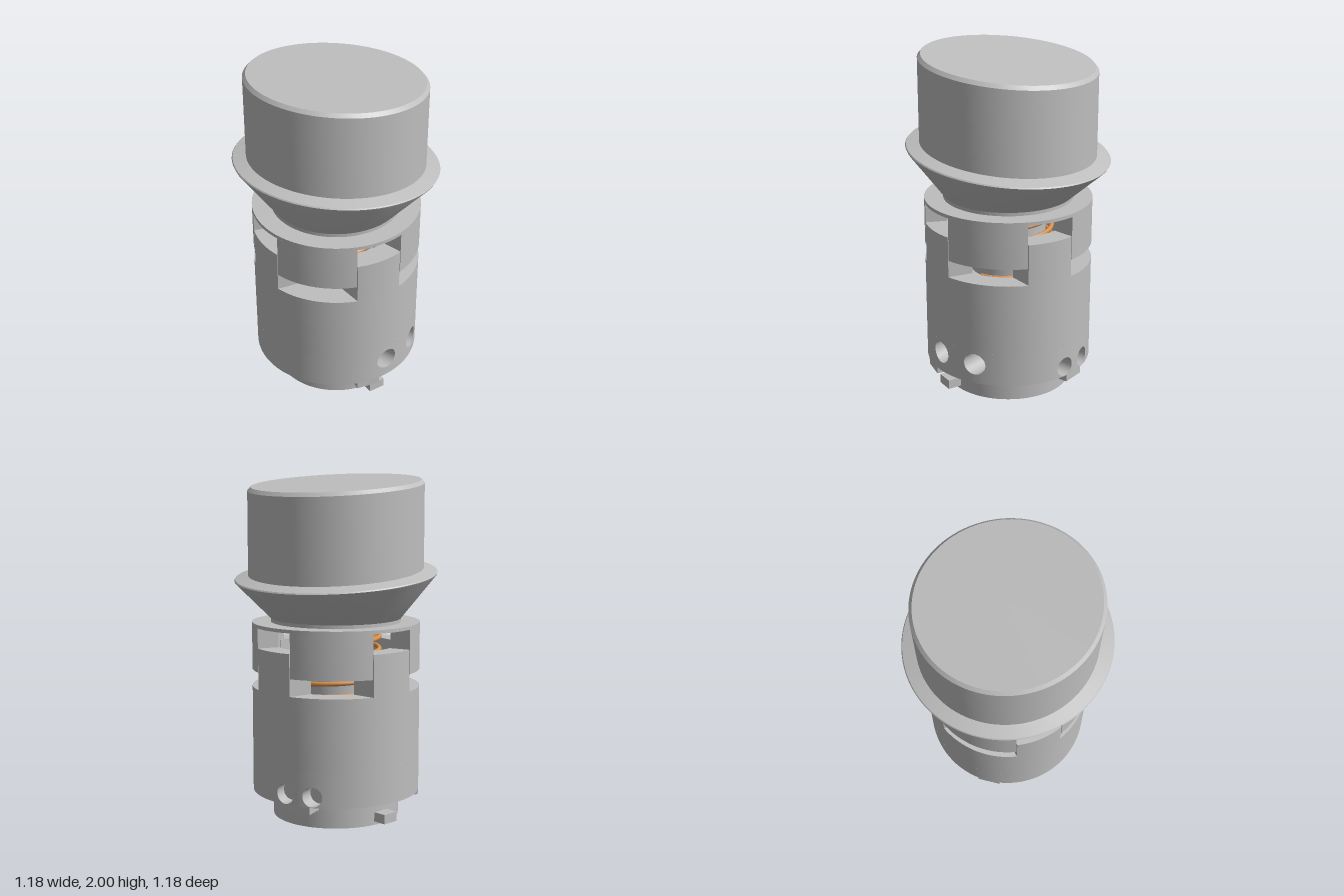
import * as THREE from 'three';
import { toCreasedNormals } from 'three/addons/utils/BufferGeometryUtils.js';

const metal = new THREE.MeshStandardMaterial({ color: 0xbebebe, side: THREE.DoubleSide });
metal.name = 'grey metal';
const copper = new THREE.MeshStandardMaterial({ color: 0xd9924f });
copper.name = 'copper';

const RAD = Math.PI / 180;
const OUTER = 0.49, INNER = 0.33;   // body and bore radii
const BAND0 = 0.15, BAND1 = 0.35;   // heights of the drilled band

function lathe(profile, from = 0, to = 360) {
  const points = profile.map(([r, y]) => new THREE.Vector2(r, y));
  const segments = Math.max(4, Math.round((to - from) / 3.75));
  return new THREE.LatheGeometry(points, segments, from * RAD, (to - from) * RAD);
}

// Ring sector whose outer and inner arcs may span different angles
function sector(center, halfOut, halfIn, rIn, rOut, y0, y1) {
  const pts = [], n = 14;
  for (let i = 0; i <= n; i++) {
    const a = (center + halfOut * (2 * i / n - 1)) * RAD;
    pts.push(new THREE.Vector2(rOut * Math.sin(a), -rOut * Math.cos(a)));
  }
  for (let i = n; i >= 0; i--) {
    const a = (center + halfIn * (2 * i / n - 1)) * RAD;
    pts.push(new THREE.Vector2(rIn * Math.sin(a), -rIn * Math.cos(a)));
  }
  const g = new THREE.ExtrudeGeometry(new THREE.Shape(pts), { depth: y1 - y0, bevelEnabled: false });
  g.rotateX(-Math.PI / 2).translate(0, y0, 0);
  return toCreasedNormals(g, 0.5);
}

// Surface through rows of points
function loft(rows) {
  const n = rows[0].length, index = [];
  for (let j = 0; j < rows.length - 1; j++) {
    for (let i = 0; i < n - 1; i++) {
      const a = j * n + i, b = a + n;
      index.push(a, a + 1, b, a + 1, b + 1, b);
    }
  }
  const g = new THREE.BufferGeometry().setFromPoints(rows.flat());
  g.setIndex(index);
  g.computeVertexNormals();
  return g;
}

const onCylinder = (R, x, y) => new THREE.Vector3(x, y, Math.sqrt(R * R - x * x));

// Perimeter of a window paired with a circle inside it
function windowRing(cx, cy, r, x0, x1) {
  const corners = [[x0, BAND0], [x0, BAND1], [x1, BAND1], [x1, BAND0], [x0, BAND0]];
  const ring = [];
  for (let s = 0; s < 4; s++) {
    for (let k = 0; k < 12 + (s === 3 ? 1 : 0); k++) {
      const x = THREE.MathUtils.lerp(corners[s][0], corners[s + 1][0], k / 12);
      const y = THREE.MathUtils.lerp(corners[s][1], corners[s + 1][1], k / 12);
      const a = Math.atan2(y - cy, x - cx);
      ring.push({ x, y, hx: cx + r * Math.cos(a), hy: cy + r * Math.sin(a) });
    }
  }
  return ring;
}

// Curved panel with a round hole
function holedPanel(R, ring) {
  const rows = [];
  for (let j = 0; j <= 5; j++) {
    rows.push(ring.map(p => onCylinder(R,
      THREE.MathUtils.lerp(p.hx, p.x, j / 5), THREE.MathUtils.lerp(p.hy, p.y, j / 5))));
  }
  return loft(rows);
}

export function createModel() {
  const model = new THREE.Group();
  const add = (name, geometry, material = metal, turn = 0) => {
    const mesh = new THREE.Mesh(geometry, material);
    mesh.name = name;
    mesh.rotation.y = turn * RAD;
    model.add(mesh);
    return mesh;
  };

  // Body shell, above and below the drilled band
  add('bodyShell', toCreasedNormals(lathe([[OUTER, BAND1], [OUTER, 0.77], [0.36, 0.77], [0.36, 0.7], [0, 0.7]]), 0.5));
  add('baseTube', toCreasedNormals(lathe([[INNER, BAND0], [INNER, 0], [0.37, 0], [0.37, BAND0], [OUTER, BAND0]]), 0.5));
  add('boreCeiling', toCreasedNormals(lathe([[0, 0.45], [INNER, 0.45], [INNER, BAND1]]), 0.5));

  // Drilled band: plain arcs between the windows
  const frontHalf = Math.asin(0.25 / OUTER) / RAD, sideHalf = Math.asin(0.17 / OUTER) / RAD;
  const boreHalf = Math.asin(0.25 / INNER) / RAD;
  add('bandFrontRight', lathe([[OUTER, BAND0], [OUTER, BAND1]], frontHalf, 90 - sideHalf));
  add('bandBack', lathe([[OUTER, BAND0], [OUTER, BAND1]], 90 + sideHalf, 360 - frontHalf));
  add('bandBore', lathe([[INNER, BAND1], [INNER, BAND0]], boreHalf, 360 - boreHalf));

  // Front holes run through into the bore
  for (const [cx, x0, x1] of [[-0.13, -0.25, 0], [0.12, 0, 0.25]]) {
    const ring = windowRing(cx, 0.27, 0.065, x0, x1);
    add('frontHolePanel', holedPanel(OUTER, ring));
    add('boreHolePanel', holedPanel(INNER, ring));
    add('frontHoleWall', loft([ring.map(p => onCylinder(OUTER, p.hx, p.hy)),
      ring.map(p => onCylinder(INNER, p.hx, p.hy))]));
  }

  // Side holes are blind
  for (const s of [-1, 1]) {
    const ring = windowRing(s * 0.085, 0.21, 0.057, Math.min(0, s * 0.17), Math.max(0, s * 0.17));
    add('sideHolePanel', holedPanel(OUTER, ring), metal, 90);
    add('sideHoleWall', loft([ring.map(p => onCylinder(OUTER, p.hx, p.hy)),
      ring.map(p => new THREE.Vector3(p.hx, p.hy, 0.39))]), metal, 90);
    add('sideHoleFloor', new THREE.CircleGeometry(0.057, 32).translate(s * 0.085, 0.21, 0.39), metal, 90);
  }

  // Interlocking prongs and collar teeth
  for (let i = 0; i < 4; i++) {
    add('bodyProng', sector(-22.5 + i * 90, 16.5, 25.5, 0.36, OUTER, 0.77, 1.01));
    add('collarTooth', sector(22.5 + i * 90, 28, 28, 0.365, OUTER, 0.87, 1.125));
  }
  add('collarPlate', new THREE.CylinderGeometry(OUTER, OUTER, 0.02, 96).translate(0, 1.135, 0));

  // Tabs on the body underside and on the base tube
  for (const a of [90, 210, -30]) {
    add('bodyTab', new THREE.BoxGeometry(0.14, 0.045, 0.12).translate(0, 0.13, 0.423), metal, a);
  }
  for (const a of [-20, 160]) {
    add('baseTab', new THREE.BoxGeometry(0.1, 0.055, 0.1).translate(0, 0.048, 0.398), metal, a);
  }

  // Spring around the plunger core
  add('core', new THREE.CylinderGeometry(0.22, 0.22, 0.38, 64).translate(0, 0.88, 0));
  add('copperSleeve', new THREE.CylinderGeometry(0.24, 0.24, 0.07, 64).translate(0, 1.092, 0), copper);
  const coil = [];
  for (let i = 0; i <= 120; i++) {
    const a = i / 24 * Math.PI * 2;
    coil.push(new THREE.Vector3(0.255 * Math.sin(a), 0.715 + 0.075 * i / 24, 0.255 * Math.cos(a)));
  }
  add('spring', new THREE.TubeGeometry(new THREE.CatmullRomCurve3(coil), 300, 0.014, 8), copper);

  // Contact pins in the bore
  for (const s of [-1, 1]) {
    add('contactPin', new THREE.BoxGeometry(0.05, 0.31, 0.05).translate(s * 0.205, 0.3, 0.2), copper);
  }

  // Flared head, sheared so that rim and top slope down to the left
  const head = lathe([[0.38, 1.14], [0.38, 1.165], [0.585, 1.405], [0.59, 1.415], [0.585, 1.422], [0.51, 1.442],
    [0.51, 1.925], [0.492, 1.946], [0, 1.946]]);
  const pos = head.attributes.position;
  for (let i = 0; i < pos.count; i++) {
    const y = pos.getY(i);
    const w = THREE.MathUtils.clamp((y - 1.165) / 0.25, 0, 1);
    pos.setY(i, y - 0.105 * w * pos.getX(i));
  }
  add('head', toCreasedNormals(head, 0.5));

  return model;
}
